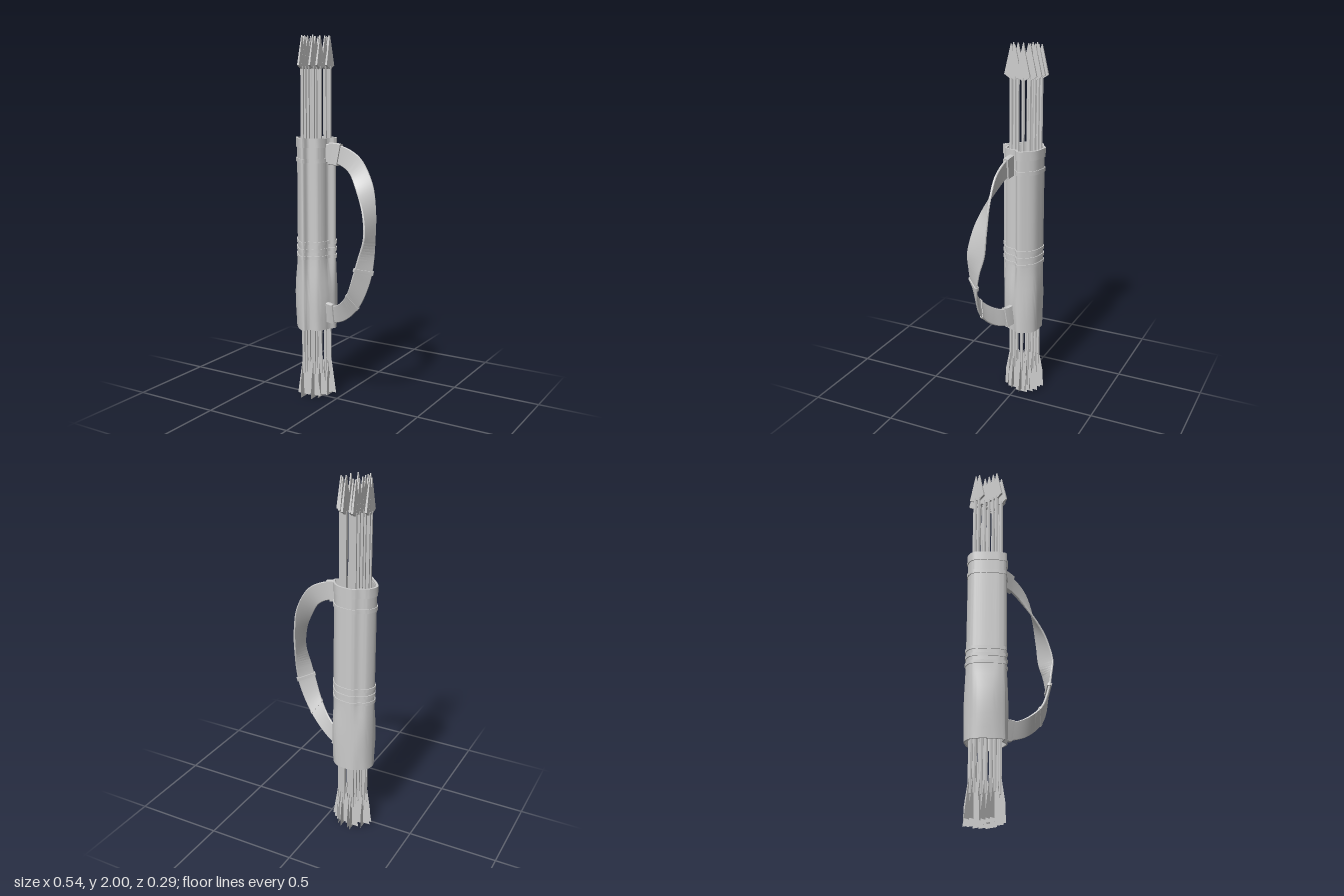
import * as THREE from 'three';
import { toCreasedNormals } from 'three/addons/utils/BufferGeometryUtils.js';

const V = (a) => new THREE.Vector3(...a);
const mat = new THREE.MeshStandardMaterial({ color: 0xcccccc, side: THREE.DoubleSide });

function part(name, geometry, parent) {
  const mesh = new THREE.Mesh(geometry, mat);
  mesh.name = name;
  parent.add(mesh);
  return mesh;
}

// Skin a list of closed rings; closed joins the last ring to the first.
function loft(rings, closed, crease = 0.7) {
  const n = rings[0].length, m = rings.length, idx = [];
  for (let j = 0; j < (closed ? m : m - 1); j++) {
    for (let i = 0; i < n; i++) {
      const k = (i + 1) % n, u = ((j + 1) % m) * n;
      const a = j * n + i, b = j * n + k, c = u + i, d = u + k;
      idx.push(a, b, c, b, d, c);
    }
  }
  const g = new THREE.BufferGeometry().setFromPoints(rings.flat());
  g.setIndex(idx);
  return toCreasedNormals(g, crease);
}

// Plan outlines (x, z): folded leather above, fuller below.
const UPPER = [[-.268, -.03], [-.245, -.08], [-.208, -.098], [-.18, -.12], [-.13, -.118], [-.085, -.105],
  [-.05, -.07], [-.03, -.03], [-.06, -.005], [-.065, .027], [-.085, .065], [-.135, .077],
  [-.15, .108], [-.175, .095], [-.2, .07], [-.25, .01]];
const LOWER = [[-.268, -.03], [-.25, -.08], [-.215, -.11], [-.18, -.12], [-.13, -.122], [-.08, -.115],
  [-.045, -.08], [-.03, -.03], [-.042, .005], [-.055, .035], [-.085, .075], [-.13, .085],
  [-.15, .108], [-.178, .1], [-.215, .075], [-.262, .015]];

// One horizontal ring of the quiver, pushed outward by off.
function outline(y, off, blend) {
  const pts = UPPER.map(([x, z], i) => new THREE.Vector3(
    THREE.MathUtils.lerp(x, LOWER[i][0], blend), y, THREE.MathUtils.lerp(z, LOWER[i][1], blend)));
  const curve = new THREE.CatmullRomCurve3(pts.reverse(), true, 'centripetal');
  const ring = [];
  for (let i = 0; i < 80; i++) {
    const t = curve.getTangent(i / 80);
    ring.push(curve.getPoint(i / 80).add(new THREE.Vector3(t.z, 0, -t.x).multiplyScalar(-off)));
  }
  return ring;
}

function buildQuiver(group) {
  const levels = [[.4, .5], [.46, .7], [.53, .95], [.6, 1], [.67, .8], [.74, .35], [.8, .05], [.9, 0], [1.45, 0]];
  const outer = levels.map(([y, b]) => outline(y, 0, b));
  const inner = levels.map(([y, b]) => outline(y, -.008, b)).reverse();
  part('quiverBody', loft([...outer, ...inner], true), group);
  // Raised bands round the mouth and the middle
  for (const [y, h, off] of [[1.435, .05, .005], [1.34, .022, .005], [.89, .018, .005], [.85, .018, .005], [.81, .018, .005]]) {
    const lo = y - h / 2, hi = y + h / 2;
    part('quiverBand', loft([outline(lo, -.006, 0), outline(lo, off, 0), outline(hi, off, 0), outline(hi, -.006, 0)], true), group);
  }
}

// Strap stations: centre and half-width vector towards the outer edge.
const STRAP = [
  [[-.06, 1.38, .012], [0, .05, 0]], [[.03, 1.372, .014], [.01, .05, -.002]],
  [[.12, 1.325, .022], [.028, .042, -.008]], [[.19, 1.22, .042], [.032, .022, -.03]],
  [[.23, 1.1, .062], [.015, .006, -.047]], [[.245, .97, .08], [.005, 0, -.054]],
  [[.236, .85, .1], [.026, -.004, -.042]], [[.218, .75, .11], [.036, -.015, -.032]],
  [[.165, .62, .105], [.028, -.036, -.02]], [[.08, .535, .068], [.013, -.047, -.01]],
  [[0, .5, .03], [0, -.05, -.008]], [[-.06, .5, .01], [0, -.05, -.005]]];
const strapPath = new THREE.CatmullRomCurve3(STRAP.map((s) => V(s[0])));
const strapWidth = new THREE.CatmullRomCurve3(STRAP.map((s) => V(s[1])));

// Flat rounded section of the strap at t, grown by extra.
function strapRing(t, extra) {
  const w = strapWidth.getPoint(t), half = w.length() + extra;
  w.normalize();
  const n = strapPath.getTangent(t).cross(w).normalize(), th = .006 + extra;
  return [[1, .4], [.93, 1], [-.93, 1], [-1, .4], [-1, -.4], [-.93, -1], [.93, -1], [1, -.4]].map(([a, b]) =>
    strapPath.getPoint(t).addScaledVector(w, a * half).addScaledVector(n, b * th));
}

function buildStrap(group) {
  const rings = [];
  for (let i = 0; i <= 90; i++) rings.push(strapRing(i / 90, 0));
  part('strap', loft(rings, false), group);
  // Sleeves: both fixings and two keepers
  const sleeves = [['upperFixing', .02, .085, .009], ['keeper', .6, .617, .006],
    ['foldKeeper', .735, .745, .003], ['lowerFixing', .905, .985, .008]];
  for (const [name, a, b, e] of sleeves) {
    const s = [strapRing(a, 0)];
    for (let i = 0; i <= 4; i++) s.push(strapRing(a + (b - a) * i / 4, e));
    s.push(strapRing(b, 0));
    part(name, loft(s, false), group);
  }
}

// Flat shape drawn in (across, up) and mirrored about the shaft.
function mirrored(half) {
  return new THREE.Shape([...half, ...half.slice().reverse().map(([x, y]) => [-x, y])].map(([x, y]) => new THREE.Vector2(x, y)));
}

function buildArrows(group) {
  const shaft = new THREE.CylinderGeometry(.0095, .0095, 1.7, 6).toNonIndexed();
  shaft.computeVertexNormals();
  shaft.translate(0, .99, 0);

  // Flat head lying in the yz plane, thinning to its tip
  const head = new THREE.ExtrudeGeometry(mirrored([[.007, 1.825], [.038, 1.845], [.002, 2]]), { depth: .012, bevelEnabled: false });
  head.translate(0, 0, -.006).rotateY(Math.PI / 2);
  const p = head.attributes.position;
  for (let i = 0; i < p.count; i++) if (p.getY(i) > 1.9) p.setX(i, p.getX(i) * .45);
  head.computeVertexNormals();

  // Crossed paper-thin vanes
  const sideVane = new THREE.ShapeGeometry(mirrored([[.036, 0], [.032, .1], [.009, .22]])).rotateY(Math.PI / 2);
  const frontVane = new THREE.ShapeGeometry(mirrored([[.041, .015], [.012, .2], [.008, .22]]));

  const columns = [[-.227, [-.05, -.025]], [-.178, [-.097, -.06, -.022, .008, .038, .064]], [-.16, [-.087, -.04]],
    [-.118, [-.086, .05]], [-.094, [-.068, -.03, .018]], [-.071, [-.041]]];
  for (const [x, zs] of columns) {
    for (const z of zs) {
      const arrow = new THREE.Group();
      arrow.name = 'arrow';
      arrow.position.set(x, 0, z);
      part('shaft', shaft, arrow);
      part('arrowHead', head, arrow);
      part('sideVane', sideVane, arrow);
      part('frontVane', frontVane, arrow);
      group.add(arrow);
    }
  }
}

export function createModel() {
  const model = new THREE.Group();
  model.name = 'quiverWithArrows';
  for (const [name, build] of [['quiver', buildQuiver], ['shoulderStrap', buildStrap], ['arrows', buildArrows]]) {
    const g = new THREE.Group();
    g.name = name;
    build(g);
    model.add(g);
  }
  return model;
}
